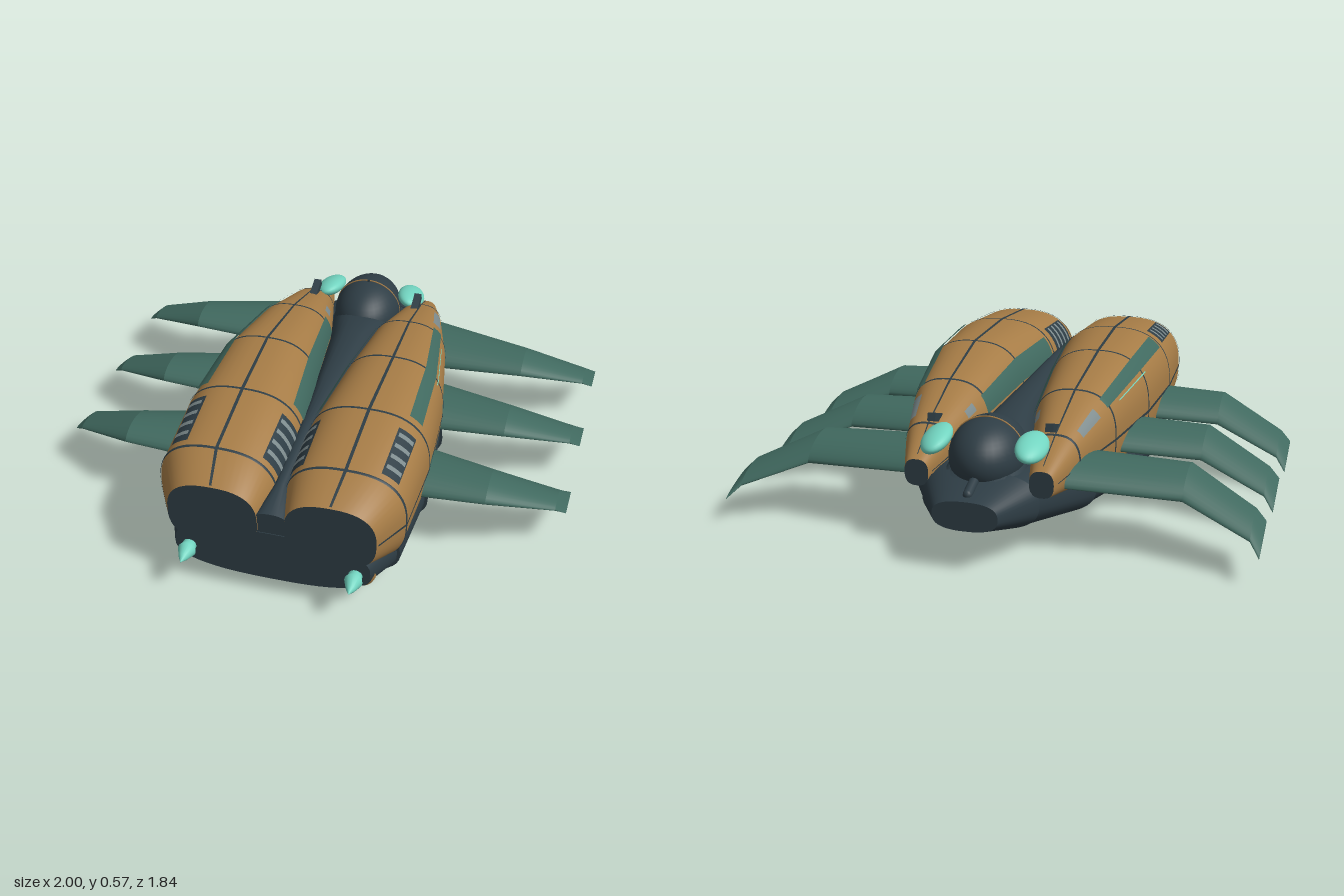
import * as THREE from 'three';
import { mergeGeometries } from 'three/addons/utils/BufferGeometryUtils.js';

const mat = (name, color, side = THREE.FrontSide) => new THREE.MeshStandardMaterial({ name, color, side });
const V = (x, y, z) => new THREE.Vector3(x, y, z);
const rad = THREE.MathUtils.degToRad;

// Cross-sections [z, centre x, centre y, half width, half height]
const POD = [
  [-0.76, 0.232, 0.30, 0.045, 0.05], [-0.6, 0.24, 0.325, 0.09, 0.105], [-0.33, 0.245, 0.335, 0.157, 0.18],
  [0.01, 0.255, 0.34, 0.205, 0.232], [0.36, 0.245, 0.34, 0.235, 0.232], [0.68, 0.24, 0.335, 0.225, 0.2],
  [0.82, 0.22, 0.335, 0.17, 0.135],
];
const HULL = [
  [-0.92, 0, 0.22, 0.12, 0.055], [-0.74, 0, 0.215, 0.22, 0.11], [-0.45, 0, 0.185, 0.36, 0.135],
  [-0.06, 0, 0.16, 0.455, 0.145], [0.32, 0, 0.155, 0.475, 0.15], [0.67, 0, 0.175, 0.445, 0.135],
  [0.82, 0, 0.19, 0.37, 0.11],
];

// Section values at any z
function sectionAt(body, z) {
  let i = 0;
  while (i < body.length - 2 && z > body[i + 1][0]) i++;
  const [a, b] = [body[i], body[i + 1]];
  const t = (z - a[0]) / (b[0] - a[0]);
  return a.map((v, k) => v + (b[k] - v) * t);
}

// Point on a rounded-square section
function ringPoint([z, cx, cy, rx, ry], angle, grow = 0) {
  const p = (v) => Math.sign(v) * Math.pow(Math.abs(v), 2 / 2.6);
  return V(cx + (rx + grow) * p(Math.cos(angle)), cy + (ry + grow) * p(Math.sin(angle)), z);
}
const ring = (s, n = 48) => Array.from({ length: n }, (_, j) => ringPoint(s, (j / n) * Math.PI * 2));

// Surface through rows of points
function skin(rows, closed) {
  const n = rows[0].length;
  const index = [];
  for (let i = 0; i < rows.length - 1; i++) {
    for (let j = 0; j < (closed ? n : n - 1); j++) {
      const k = (j + 1) % n;
      const a = i * n + j, b = i * n + k, c = (i + 1) * n + k, d = (i + 1) * n + j;
      index.push(a, b, c, a, c, d);
    }
  }
  const g = new THREE.BufferGeometry().setFromPoints(rows.flat());
  g.setIndex(index);
  g.computeVertexNormals();
  return g;
}

// Flat end cap
function cap(points, flip) {
  const n = points.length;
  const mid = points.reduce((s, p) => s.add(p), V(0, 0, 0)).divideScalar(n);
  const index = [];
  for (let j = 0; j < n; j++) {
    const k = (j + 1) % n;
    index.push(n, flip ? k : j, flip ? j : k);
  }
  const g = new THREE.BufferGeometry().setFromPoints([...points, mid]);
  g.setIndex(index);
  g.computeVertexNormals();
  return g;
}
const solid = (rows) => mergeGeometries([skin(rows, true), cap(rows[0], true), cap(rows.at(-1), false)]);

// Thin panel lying on a body between two angles and two z values
function panel(body, a0, a1, z0, z1, grow) {
  const zs = [z0, ...body.map((s) => s[0]).filter((z) => z > z0 + 0.001 && z < z1 - 0.001), z1];
  const n = Math.max(2, Math.ceil(Math.abs(a1 - a0) / 5));
  return skin(zs.map((z) => Array.from({ length: n + 1 },
    (_, j) => ringPoint(sectionAt(body, z), rad(a0 + ((a1 - a0) * j) / n), grow))), false);
}

function mirrored(geometry) {
  const g = geometry.clone().scale(-1, 1, 1);
  const ix = g.index.array;
  for (let i = 0; i < ix.length; i += 3) [ix[i], ix[i + 1]] = [ix[i + 1], ix[i]];
  return g;
}

// Folded limb: sections [x, front z, back z, y, half thickness, tilt]
function limbGeometry() {
  const rows = [
    [0.3, -0.70, -0.38, 0.275, 0.055, 0.0], [0.71, -0.64, -0.40, 0.265, 0.04, 0.02],
    [0.96, -0.71, -0.53, 0.175, 0.018, 0.025], [1.0, -0.76, -0.56, 0.14, 0.008, 0.03],
  ].map(([x, f, b, y, t, tilt]) => Array.from({ length: 28 }, (_, j) => {
    const q = (j / 28) * Math.PI * 2;
    const c = -Math.cos(q), s = Math.sin(q);
    return V(x, y + tilt * c + t * s * (s > 0 ? 1 : 0.6) + t * 0.4 * (1 - c * c), (f + b) / 2 + (c * (b - f)) / 2);
  }));
  const parts = rows.slice(1).map((r, i) => skin([rows[i], r], true));
  return mergeGeometries([...parts, cap(rows.at(-1), false)]);
}

export function createModel() {
  const model = new THREE.Group();
  model.name = 'beetleCraft';
  const gold = mat('ochre shell', 0xa67c46);
  const dark = mat('dark slate', 0x2e3d45);
  const green = mat('deep green', 0x40695f);
  const teal = mat('bright teal', 0x72d4c0);
  const grey = mat('vent grey', 0x7c8a8c);

  const add = (name, geometry, material, parent = model) => {
    const m = new THREE.Mesh(geometry, material);
    m.name = name;
    parent.add(m);
    return m;
  };
  const pair = (name, geometry, material) => {
    add(name + 'Left', geometry, material);
    add(name + 'Right', mirrored(geometry), material);
  };
  const onPod = (name, material, a0, a1, z0, z1, grow = 0.006) =>
    pair(name, panel(POD, a0, a1, z0, z1, grow), material);

  // Belly of overlapping plates
  for (let i = 0; i < HULL.length - 1; i++) {
    const front = HULL[i].map((v, k) => (k > 2 && i > 0 ? v * 0.975 : v));
    add('bellyPlate' + (i + 1), solid([ring(front), ring(HULL[i + 1])]), dark);
  }

  // Spine filling the gap between the shells: [z, half width, top]
  const spine = [
    [-0.82, 0.16, 0.30], [-0.6, 0.15, 0.39], [-0.45, 0.12, 0.42], [-0.33, 0.10, 0.43], [0.01, 0.07, 0.44],
    [0.36, 0.04, 0.45], [0.68, 0.04, 0.43], [0.817, 0.09, 0.39],
  ].map(([z, w, top]) => ring([z, 0, (top + 0.16) / 2, w, (top - 0.16) / 2], 32));
  add('spine', solid(spine), dark);

  // Shell halves with dark ends
  pair('shell', skin(POD.map((s) => ring(s)), true), gold);
  pair('shellRearCap', cap(ring(POD.at(-1)), false), dark);
  pair('shellFrontCap', cap(ring(POD[0]), true), dark);

  // Panel seams
  for (const [i, z] of [-0.6, -0.33, 0.01, 0.36, 0.68].entries())
    onPod('ringSeam' + (i + 1), dark, 0, 360, z - 0.005, z + 0.005, 0.003);
  for (const [name, a] of [['outerSeam', 0], ['topSeam', 90], ['innerSeam', 180]])
    onPod(name, dark, a - 0.5, a + 0.5, -0.74, 0.815, 0.003);

  // Stripes and light line
  onPod('outerStripe', green, 40, 58, -0.35, 0.33, 0.008);
  onPod('innerStripe', green, 138, 165, -0.35, 0.33, 0.008);
  onPod('lightLine', teal, 33.5, 35, -0.25, 0.04);

  // Vents with slats
  for (const [name, a0, a1] of [['outerVent', 41, 64], ['innerVent', 130, 165]]) {
    onPod(name, dark, a0, a1, 0.41, 0.65, 0.005);
    for (let i = 0; i < 4; i++) {
      const z = 0.445 + i * 0.055;
      onPod(name + 'Slat' + (i + 1), grey, a0 + 2, a1 - 2, z - 0.01, z + 0.01, 0.008);
    }
  }

  // Shoulder plates
  onPod('shoulderPlate', grey, 38, 58, -0.55, -0.41);
  onPod('innerPlate', grey, 135, 150, -0.47, -0.41);
  pair('eyeBracket', new THREE.BoxGeometry(0.03, 0.03, 0.14).rotateX(0.33).translate(0.222, 0.44, -0.55), dark);

  // Belly inlays
  const inlays = [
    ['rearFin', grey, 0.58, 0.61, -32, -6], ['midFin', grey, 0.455, 0.485, -32, -14],
    ['frontFin', grey, -0.055, -0.025, -24, -6], ['rearInlay', gold, 0.36, 0.45, -26, -15],
    ['midInlay', gold, 0.06, 0.2, -20, -13],
  ];
  for (const [name, m, z0, z1, a0, a1] of inlays) pair(name, panel(HULL, a0, a1, z0, z1, 0.005), m);

  // Head dome, crest and eyes
  add('headDome', new THREE.SphereGeometry(1, 36, 24).scale(0.14, 0.135, 0.19).translate(0, 0.355, -0.63), dark);
  add('domeSeam', new THREE.TorusGeometry(0.1385, 0.003, 6, 40, Math.PI).translate(0, 0.354, -0.635), gold);
  add('domeCrest', new THREE.BoxGeometry(0.008, 0.05, 0.008).translate(0, 0.475, -0.63), dark);
  add('noseRidge', new THREE.CapsuleGeometry(0.018, 0.1, 4, 12).rotateX(Math.PI / 2 - 0.3).translate(0, 0.302, -0.83), dark);
  pair('eye', new THREE.SphereGeometry(1, 28, 20).scale(0.058, 0.034, 0.098)
    .rotateX(-0.2).rotateZ(-0.3).translate(0.178, 0.41, -0.685), teal);

  // Rear thrusters
  pair('thrusterHousing', new THREE.CylinderGeometry(0.058, 0.058, 0.08, 28).rotateX(Math.PI / 2).translate(0.315, 0.17, 0.765), dark);
  pair('thrusterRing', new THREE.TorusGeometry(0.055, 0.014, 10, 32).scale(1, 1, 1.6).translate(0.315, 0.168, 0.78), gold);
  const spike = [[0, 0.79], [0.028, 0.79], [0.026, 0.83], [0.034, 0.85], [0.018, 0.89], [0, 0.92]]
    .map(([r, z]) => new THREE.Vector2(r, z));
  pair('thrusterSpike', new THREE.LatheGeometry(spike, 20).rotateX(Math.PI / 2).translate(0.315, 0.175, 0), teal);

  // Three pairs of limbs
  const limb = limbGeometry();
  for (const [i, dz] of [0, 0.42, 0.84].entries()) pair('limb' + (i + 1), limb.clone().translate(0, 0, dz), green);

  return model;
}
